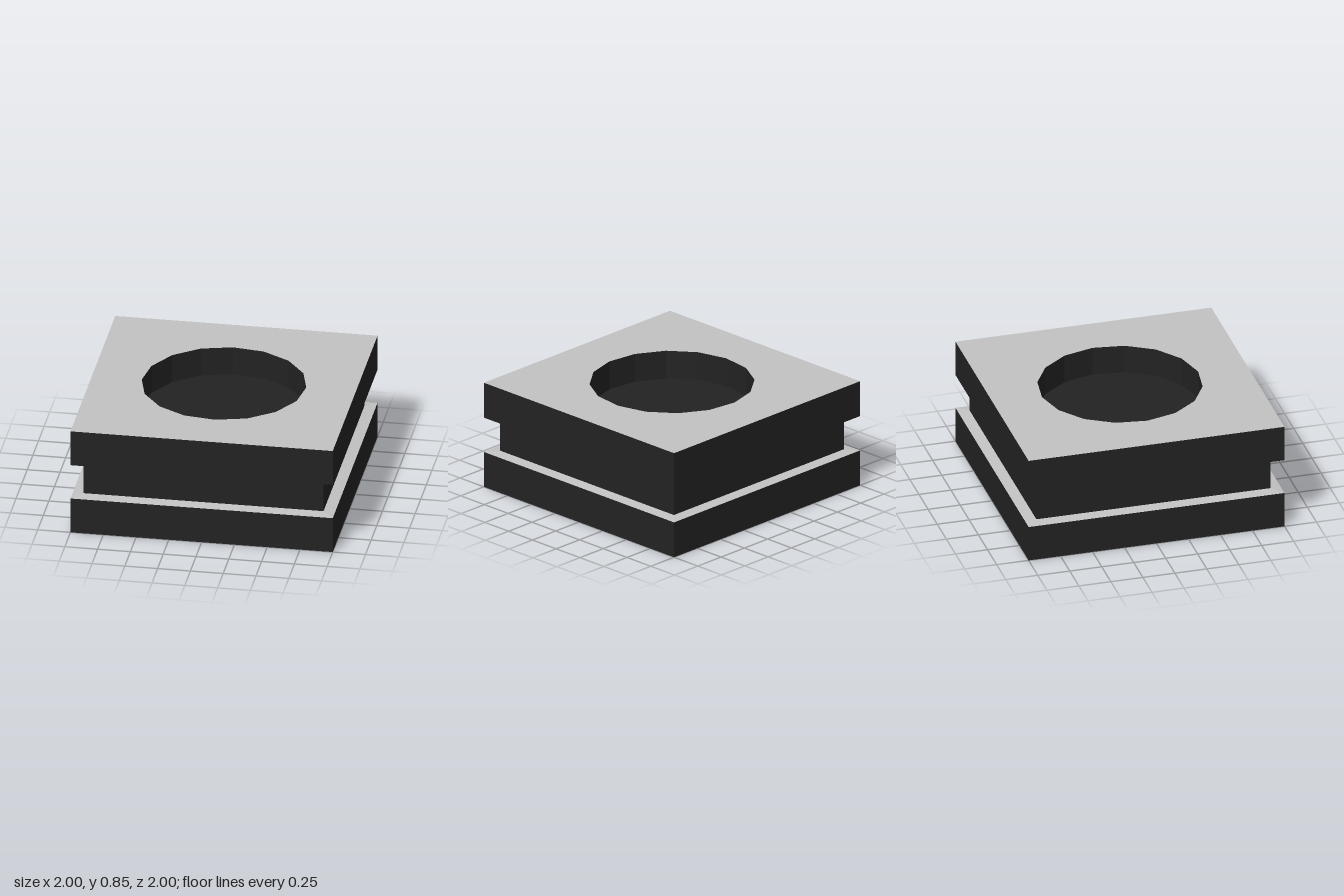
import * as THREE from 'three';

const HALF = 1, NECK = 0.915, HEIGHT = 0.845;
const LOWER = 0.283, NECK_LOW = 0.294, NECK_HIGH = 0.551, UPPER = 0.562;
const HOLE_R = 0.622, HOLE_FLOOR = 0.62, SIDES = 16, TWIST = THREE.MathUtils.degToRad(3.5);

export function createModel() {
  const model = new THREE.Group();
  const dark = new THREE.MeshStandardMaterial({ color: 0x222222 });
  dark.name = 'charcoal';
  const light = new THREE.MeshStandardMaterial({ color: 0xc2c2c2 });
  light.name = 'light grey';

  // Adds a part with hard facets
  function add(name, geometry, material) {
    const faceted = geometry.index ? geometry.toNonIndexed() : geometry;
    faceted.computeVertexNormals();
    const mesh = new THREE.Mesh(faceted, material);
    mesh.name = name;
    model.add(mesh);
  }

  // Four walls running from one square outline up to another
  function squareWalls(halfLow, yLow, halfHigh, yHigh) {
    return new THREE.CylinderGeometry(halfHigh * Math.SQRT2, halfLow * Math.SQRT2, yHigh - yLow,
      4, 1, true, Math.PI / 4).translate(0, (yLow + yHigh) / 2, 0);
  }

  // Stacked outer walls with slightly sloping ledges around the neck
  add('lowerSlabWalls', squareWalls(HALF, 0, HALF, LOWER), dark);
  add('lowerLedge', squareWalls(HALF, LOWER, NECK, NECK_LOW), light);
  add('neckWalls', squareWalls(NECK, NECK_LOW, NECK, NECK_HIGH), dark);
  add('upperLedge', squareWalls(NECK, NECK_HIGH, HALF, UPPER), light);
  add('upperSlabWalls', squareWalls(HALF, UPPER, HALF, HEIGHT), dark);

  // Underside
  add('underside', new THREE.PlaneGeometry(2 * HALF, 2 * HALF).rotateX(Math.PI / 2), dark);

  // Top face with a sixteen-sided opening
  const top = new THREE.Shape([[-1, -1], [1, -1], [1, 1], [-1, 1]]
    .map(([x, y]) => new THREE.Vector2(x * HALF, y * HALF)));
  const rim = Array.from({ length: SIDES }, (_, i) => {
    const a = TWIST - (i * 2 * Math.PI) / SIDES;
    return new THREE.Vector2(HOLE_R * Math.cos(a), HOLE_R * Math.sin(a));
  });
  top.holes.push(new THREE.Path(rim));
  add('topFace', new THREE.ShapeGeometry(top).rotateX(-Math.PI / 2).translate(0, HEIGHT, 0), light);

  // Recess: inward-facing wall (mirrored to turn it inside out) and floor
  add('recessWall', new THREE.CylinderGeometry(HOLE_R, HOLE_R, HEIGHT - HOLE_FLOOR, SIDES, 1, true, -TWIST)
    .scale(-1, 1, 1).translate(0, (HEIGHT + HOLE_FLOOR) / 2, 0), dark);
  add('recessFloor', new THREE.CircleGeometry(HOLE_R, SIDES, TWIST)
    .rotateX(-Math.PI / 2).translate(0, HOLE_FLOOR, 0), dark);

  return model;
}
